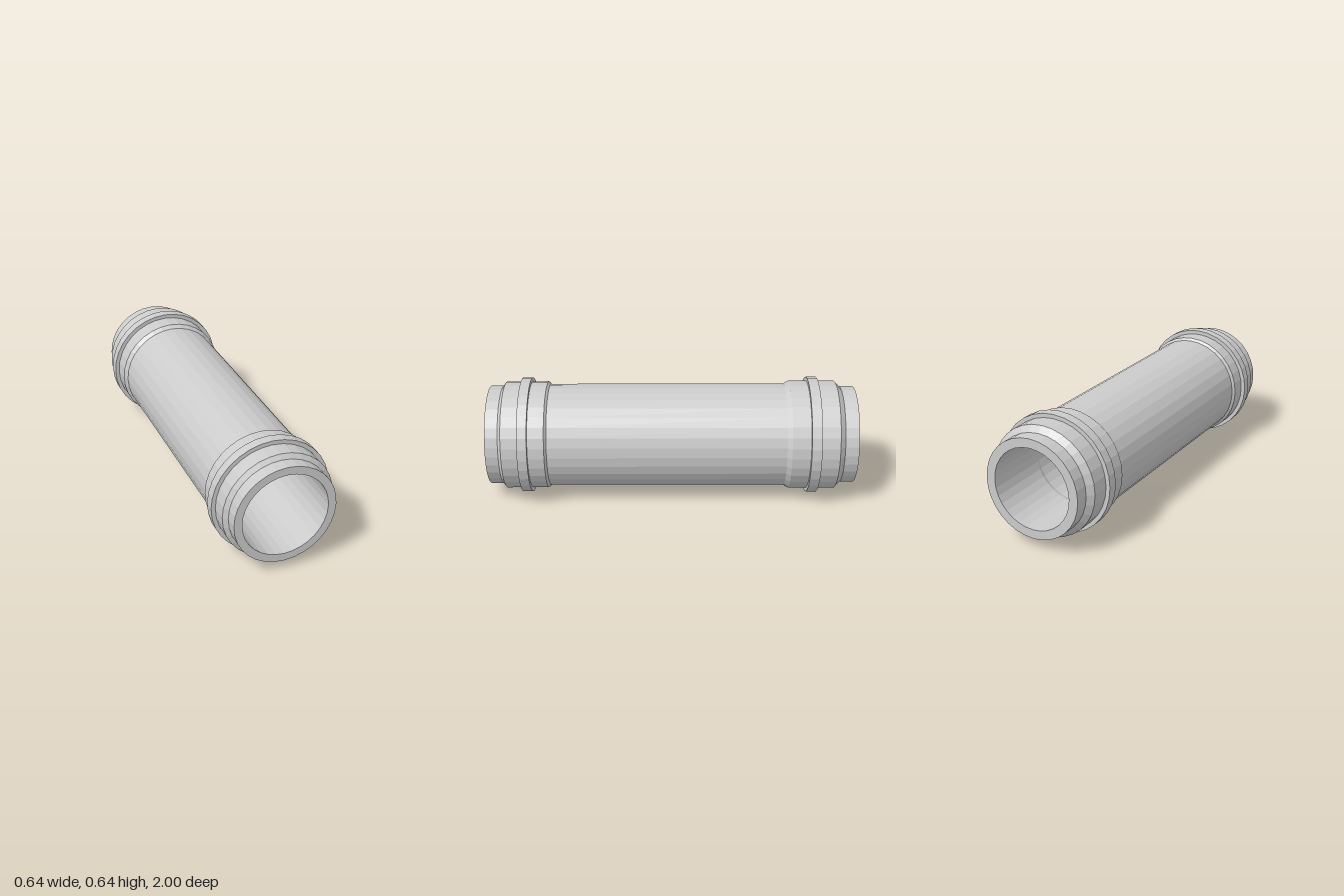
import * as THREE from 'three';

const SIDES = 32;
const AXIS_HEIGHT = 0.32;

export function createModel() {
  const group = new THREE.Group();
  group.name = 'pipeSection';
  const material = new THREE.MeshStandardMaterial({ color: 0xcccccc, flatShading: true });

  // Turn a [radius, z] profile around the pipe axis; rising z faces outward
  function turn(name, profile) {
    const points = profile.map(([r, z]) => new THREE.Vector2(r, z));
    const geometry = new THREE.LatheGeometry(points, SIDES).rotateX(Math.PI / 2);
    const mesh = new THREE.Mesh(geometry, material);
    mesh.name = name;
    mesh.position.y = AXIS_HEIGHT;
    group.add(mesh);
  }

  // Back spigot with its annular end face
  turn('backSpigot', [[0.217, -1], [0.266, -1], [0.266, -0.925]]);

  // Back collar, chamfered at the end and tapering down to the pipe
  turn('backCollar', [[0.266, -0.925], [0.297, -0.895], [0.297, -0.64], [0.281, -0.615]]);
  turn('backRing', [[0.297, -0.795], [0.319, -0.795], [0.319, -0.74], [0.297, -0.74]]);

  // Long middle pipe
  turn('pipeBody', [[0.281, -0.615], [0.281, 0.67]]);

  // Front collar
  turn('frontCollar', [[0.281, 0.67], [0.295, 0.682], [0.295, 0.912], [0.271, 0.93]]);
  turn('frontRing', [[0.295, 0.77], [0.317, 0.77], [0.317, 0.823], [0.295, 0.823]]);

  // Front spigot with its annular end face
  turn('frontSpigot', [[0.271, 0.93], [0.271, 1], [0.228, 1]]);

  // Bore, narrowing slightly inside the back collar
  turn('bore', [[0.228, 1], [0.228, -0.615], [0.217, -0.64], [0.217, -1]]);

  return group;
}
